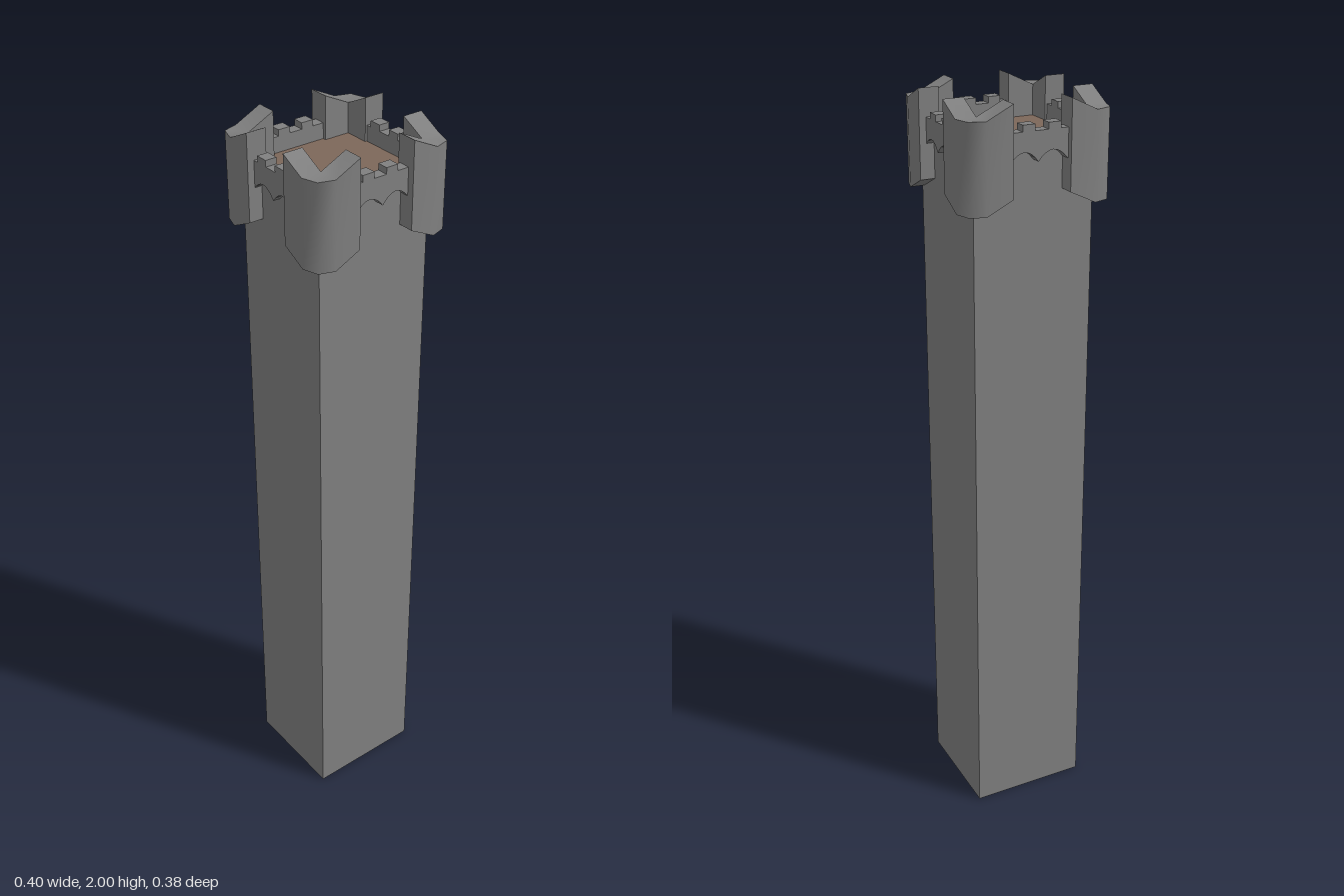
import * as THREE from 'three';
import { toCreasedNormals } from 'three/addons/utils/BufferGeometryUtils.js';

const stone = new THREE.MeshStandardMaterial({ color: 0x808080 });
stone.name = 'grey stone';
const planks = new THREE.MeshStandardMaterial({ color: 0x7d6759 });
planks.name = 'brown floor';

const FLOOR_Y = 1.89;

function add(parent, name, geometry, material) {
  const mesh = new THREE.Mesh(geometry, material);
  mesh.name = name;
  parent.add(mesh);
  return mesh;
}

// L-shaped corner bastion, swept through stations of [outer x, z, inner x, z, lift]
function bastionGeometry(sx, sz) {
  const stations = [
    [0.076, 0.191, 0.076, 0.137, 0.033],
    [0.145, 0.191, 0.145, 0.137, 0],
    [0.185, 0.178, 0.145, 0.137, 0],
    [0.198, 0.137, 0.145, 0.137, 0],
    [0.198, 0.07, 0.145, 0.07, 0.033],
  ];
  if (sx * sz < 0) stations.reverse();
  const rings = stations.map(([ox, oz, ix, iz, lift]) => {
    const point = (x, z, y) => new THREE.Vector3(x * sx, y + lift, z * sz);
    return {
      ob: point(ox, oz, 1.745), ot: point(ox, oz, 1.967),
      ib: point(ix, iz, 1.745), it: point(ix, iz, 1.967),
    };
  });
  const positions = [];
  const tri = (a, b, c) => {
    if (a.equals(b) || b.equals(c) || a.equals(c)) return;
    for (const p of [a, b, c]) positions.push(p.x, p.y, p.z);
  };
  const quad = (a, b, c, d) => { tri(a, b, c); tri(a, c, d); };
  for (let k = 0; k < rings.length - 1; k++) {
    const p = rings[k], q = rings[k + 1];
    quad(p.ot, q.ot, q.it, p.it); // top
    quad(p.ob, q.ob, q.ot, p.ot); // outer wall
    quad(q.ib, p.ib, p.it, q.it); // inner wall
    quad(p.ib, q.ib, q.ob, p.ob); // underside
  }
  const s = rings[0], e = rings[rings.length - 1];
  quad(s.ib, s.ob, s.ot, s.it);
  quad(e.ob, e.ib, e.it, e.ot);
  const geometry = new THREE.BufferGeometry();
  geometry.setAttribute('position', new THREE.Float32BufferAttribute(positions, 3));
  return toCreasedNormals(geometry, 1.0);
}

// Parapet wall: two merlons on top, two shallow arches below
function parapetGeometry() {
  const low = 1.93, high = 1.946, base = 1.857;
  const shape = new THREE.Shape();
  shape.moveTo(-0.09, base);
  shape.lineTo(-0.075, base);
  shape.quadraticCurveTo(-0.035, 1.907, 0.003, base);
  shape.quadraticCurveTo(0.04, 1.907, 0.078, base);
  shape.lineTo(0.09, base);
  shape.lineTo(0.09, low);
  for (const [right, left] of [[0.045, 0.012], [-0.023, -0.056]]) {
    shape.lineTo(right, low);
    shape.lineTo(right, high);
    shape.lineTo(left, high);
    shape.lineTo(left, low);
  }
  shape.lineTo(-0.09, low);
  shape.closePath();
  return new THREE.ExtrudeGeometry(shape, { depth: 0.03, bevelEnabled: false, curveSegments: 8 });
}

export function createModel() {
  const tower = new THREE.Group();
  tower.name = 'tower';

  // Square shaft
  const shaftHeight = FLOOR_Y - 0.008;
  add(tower, 'shaft', new THREE.BoxGeometry(0.32, shaftHeight, 0.296), stone)
    .position.y = shaftHeight / 2;

  // Roof floor
  add(tower, 'roofFloor', new THREE.BoxGeometry(0.304, 0.008, 0.292), planks)
    .position.y = FLOOR_Y - 0.004;

  // Parapets on the four sides
  const parapet = parapetGeometry();
  add(tower, 'frontParapet', parapet, stone).position.z = 0.143;
  add(tower, 'backParapet', parapet, stone).position.z = -0.176;
  for (const [name, x] of [['leftParapet', 0.18], ['rightParapet', -0.15]]) {
    const side = add(tower, name, parapet, stone);
    side.rotation.y = -Math.PI / 2;
    side.position.x = x;
  }

  // Corner bastions
  for (const sx of [-1, 1]) {
    for (const sz of [-1, 1]) {
      const name = (sz > 0 ? 'front' : 'back') + (sx > 0 ? 'Left' : 'Right') + 'Bastion';
      add(tower, name, bastionGeometry(sx, sz), stone);
    }
  }
  return tower;
}
